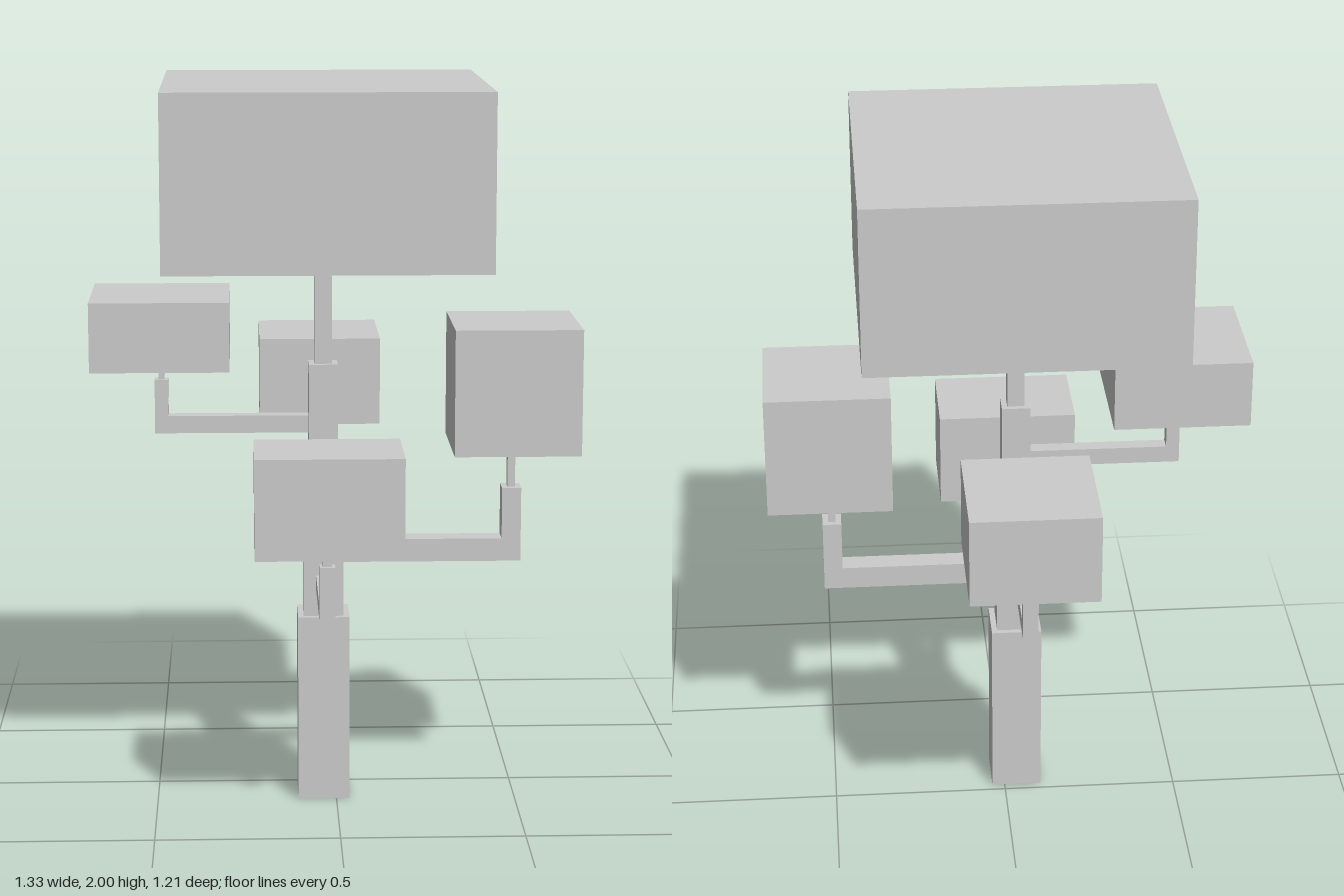
import * as THREE from 'three';

const material = new THREE.MeshStandardMaterial({ color: 0xcccccc, flatShading: true });

// Trunk axis
const TX = -0.035, TZ = 0.095;

// Box given by its [min, max] extent along each axis
function block(name, [x0, x1], [y0, y1], [z0, z1]) {
  const mesh = new THREE.Mesh(new THREE.BoxGeometry(x1 - x0, y1 - y0, z1 - z0), material);
  mesh.position.set((x0 + x1) / 2, (y0 + y1) / 2, (z0 + z1) / 2);
  mesh.name = name;
  return mesh;
}

const around = (centre, size) => [centre - size / 2, centre + size / 2];

// Elbow branch: a level arm leaving the trunk, an upright post, a thin twig and a leaf block
function branch({ name, axis, start, post, arm, postTop, width, twig, twigWidth, leaves }) {
  const group = new THREE.Group();
  group.name = name;
  const add = (part, along, y, w) => {
    const across = around(axis === 'x' ? TZ : TX, w);
    group.add(axis === 'x' ? block(part, along, y, across) : block(part, across, y, along));
  };
  const outward = post[0] > start;
  add('arm', outward ? [start, post[0]] : [post[1], start], arm, width);
  add('post', post, [arm[0], postTop], width);
  add('twig', around((post[0] + post[1]) / 2, twig), [postTop, leaves[1][0]], twigWidth);
  group.add(block('leafBlock', ...leaves));
  return group;
}

export function createModel() {
  const model = new THREE.Group();
  model.name = 'blockTree';

  // Trunk, stepping thinner towards the top
  const trunk = new THREE.Group();
  trunk.name = 'trunk';
  const steps = [[0, 0.525, 0.143], [0.525, 0.875, 0.111], [0.875, 1.23, 0.08], [1.23, 1.53, 0.048]];
  steps.forEach(([y0, y1, w], i) =>
    trunk.add(block('trunkSection' + (i + 1), around(TX, w), [y0, y1], around(TZ, w))));
  model.add(trunk);

  // Main crown
  model.add(block('crown', [-0.466, 0.399], [1.53, 2], [-0.338, 0.525]));

  // Four side branches at different heights
  model.add(
    branch({
      name: 'leftBranch', axis: 'x', start: 0.015, post: [0.46, 0.513], arm: [0.673, 0.737],
      postTop: 0.88, width: 0.065, twig: 0.021, twigWidth: 0.032,
      leaves: [[0.317, 0.663], [0.996, 1.343], [-0.083, 0.265]],
    }),
    branch({
      name: 'rightBranch', axis: 'x', start: -0.07, post: [-0.497, -0.46], arm: [1.038, 1.086],
      postTop: 1.187, width: 0.042, twig: 0.016, twigWidth: 0.024,
      leaves: [[-0.667, -0.291], [1.234, 1.423], [-0.102, 0.274]],
    }),
    branch({
      name: 'frontBranch', axis: 'z', start: 0.145, post: [0.455, 0.492], arm: [0.6, 0.64],
      postTop: 0.747, width: 0.042, twig: 0.016, twigWidth: 0.024,
      leaves: [[-0.228, 0.164], [0.793, 1.063], [0.337, 0.606]],
    }),
    branch({
      name: 'backBranch', axis: 'z', start: 0.045, post: [-0.45, -0.413], arm: [0.788, 0.83],
      postTop: 0.935, width: 0.042, twig: 0.016, twigWidth: 0.024,
      leaves: [[-0.207, 0.139], [0.989, 1.238], [-0.606, -0.255]],
    }),
  );

  return model;
}
